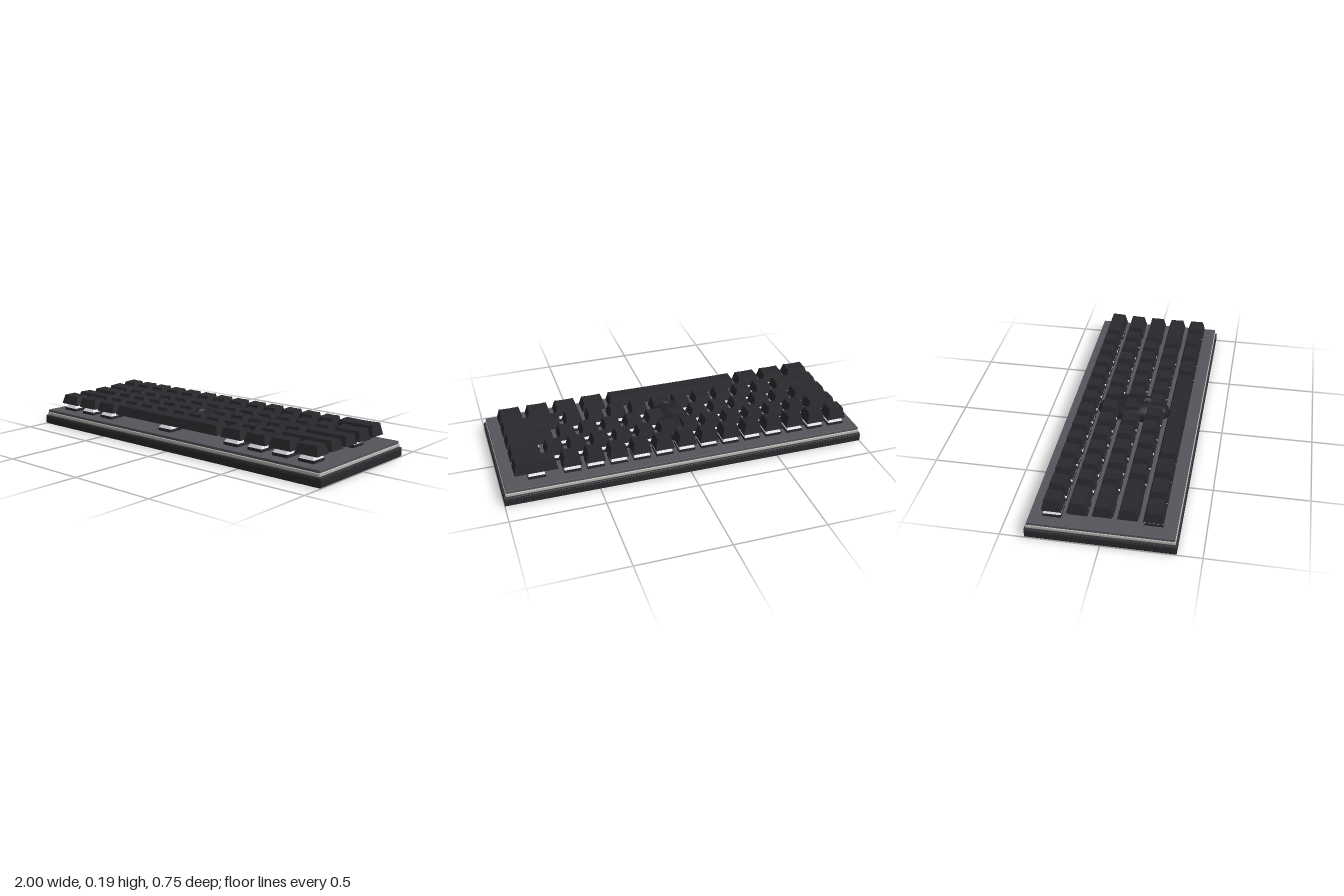
import * as THREE from 'three';

const U = 0.1255; // one key unit
const mat = (color, flatShading = true) => new THREE.MeshStandardMaterial({ color, flatShading });
const MATS = {
  key: mat(0x29292d), caseBody: mat(0x29292d), rim: mat(0x333338), plate: mat(0x56555b),
  light: mat(0xb4b6b2), housing: mat(0xdfe2e4), socket: mat(0x2b2b2f), stem: mat(0x55b0a5),
  mouse: mat(0x222225, false), wire: mat(0x8a8a8a, false),
};

function add(parent, name, geometry, material, x = 0, y = 0, z = 0) {
  const mesh = new THREE.Mesh(geometry, material);
  mesh.name = name;
  mesh.position.set(x, y, z);
  parent.add(mesh);
  return mesh;
}

// Flat slab with bevelled edges, from y0 to y1
function slab(halfW, halfD, y0, y1, bevel) {
  const w = halfW - bevel, d = halfD - bevel;
  const shape = new THREE.Shape([[-w, -d], [w, -d], [w, d], [-w, d]].map(p => new THREE.Vector2(...p)));
  const g = new THREE.ExtrudeGeometry(shape, {
    depth: y1 - y0 - 2 * bevel, bevelEnabled: true, bevelSize: bevel, bevelThickness: bevel, bevelSegments: 3,
  });
  return g.rotateX(-Math.PI / 2).translate(0, y0 + bevel, 0);
}

// Box standing on y = 0 whose top is inset; tilt raises the back of the top, dish hollows it
function tapered(w, d, h, inset, tilt = 0, dish = 0) {
  const g = new THREE.BoxGeometry(w, h, d, dish ? 6 : 1, 1, 1).translate(0, h / 2, 0);
  const p = g.attributes.position;
  for (let i = 0; i < p.count; i++) {
    if (p.getY(i) < h / 2) continue;
    const sx = p.getX(i) / (w / 2), sz = p.getZ(i) / (d / 2);
    p.setXYZ(i, sx * (w / 2 - inset), h - sz * tilt - dish * (1 - sx * sx), sz * (d / 2 - inset));
  }
  g.computeVertexNormals();
  return g;
}

// Row layouts in key units, back to front, with cap height and top tilt
const ones = n => Array(n).fill(1);
const ROWS = [
  { keys: [...ones(13), 2], h: 0.061, tilt: 0.002 },
  { keys: [1.5, ...ones(12), 1.5], h: 0.055, tilt: 0.002 },
  { keys: [1.75, ...ones(11), 2.25], h: 0.052, tilt: 0 },
  { keys: [2.25, ...ones(10), 2.75], h: 0.051, tilt: -0.001 },
  { keys: [1.25, 1.25, 1.25, 6.25, 1.25, 1.25, 1.25, 1.25], h: 0.052, tilt: 0 },
];

function buildKeys() {
  const keys = new THREE.Group();
  keys.name = 'keys';
  const socket = new THREE.BoxGeometry(0.092, 0.017, 0.092);
  const housing = tapered(0.09, 0.09, 0.017, 0.011);
  const stem = new THREE.BoxGeometry(0.04, 0.012, 0.04);
  ROWS.forEach(({ keys: widths, h, tilt }, r) => {
    let x = -7.5 * U;
    const z = (r - 2) * 0.125;
    for (const w of widths) {
      const key = new THREE.Group();
      key.name = 'key';
      key.position.set(x + w * U / 2 - 0.002, 0, z);
      add(key, 'switchSocket', socket, MATS.socket, 0, 0.0925);
      add(key, 'switchHousing', housing, MATS.housing, 0, 0.101);
      add(key, 'switchStem', stem, MATS.stem, 0, 0.121);
      add(key, 'keycap', tapered(w * U - 0.022, 0.101, h, 0.013, tilt, 0.002), MATS.key, 0, 0.123);
      keys.add(key);
      x += w * U;
    }
  });
  return keys;
}

// Low domed mouse sunk between the middle keys
function buildMouse() {
  const mouse = new THREE.Group();
  mouse.name = 'mouse';
  const g = new THREE.SphereGeometry(1, 32, 24).rotateX(Math.PI / 2);
  const p = g.attributes.position;
  for (let i = 0; i < p.count; i++) {
    const x = p.getX(i), y = p.getY(i), z = p.getZ(i);
    const top = Math.pow(Math.max(y, 0), 0.7) * 0.079 * (1 + 0.12 * z);
    p.setXYZ(i, Math.sign(x) * Math.pow(Math.abs(x), 0.85) * 0.1, 0.095 + top + Math.min(y, 0) * 0.01, z * 0.2);
  }
  g.computeVertexNormals();
  add(mouse, 'mouseBody', g, MATS.mouse);
  // Scroll wheel ribs
  for (const x of [-0.012, 0, 0.012]) {
    const rib = add(mouse, 'wheelRib', new THREE.TorusGeometry(0.02, 0.0012, 6, 16, Math.PI), MATS.wire, x, 0.162, 0.076);
    rib.rotation.y = Math.PI / 2;
  }
  return mouse;
}

export function createModel() {
  const model = new THREE.Group();
  model.name = 'keyboard';
  // Layered case
  add(model, 'bottomCase', slab(1, 0.374, 0, 0.043, 0.007), MATS.caseBody);
  add(model, 'caseRim', slab(1, 0.375, 0.04, 0.052, 0.004), MATS.rim);
  add(model, 'lightStrip', slab(0.99, 0.367, 0.052, 0.07, 0.004), MATS.light);
  add(model, 'topPlate', slab(0.987, 0.363, 0.07, 0.085, 0.002), MATS.plate);
  model.add(buildKeys(), buildMouse());
  return model;
}
